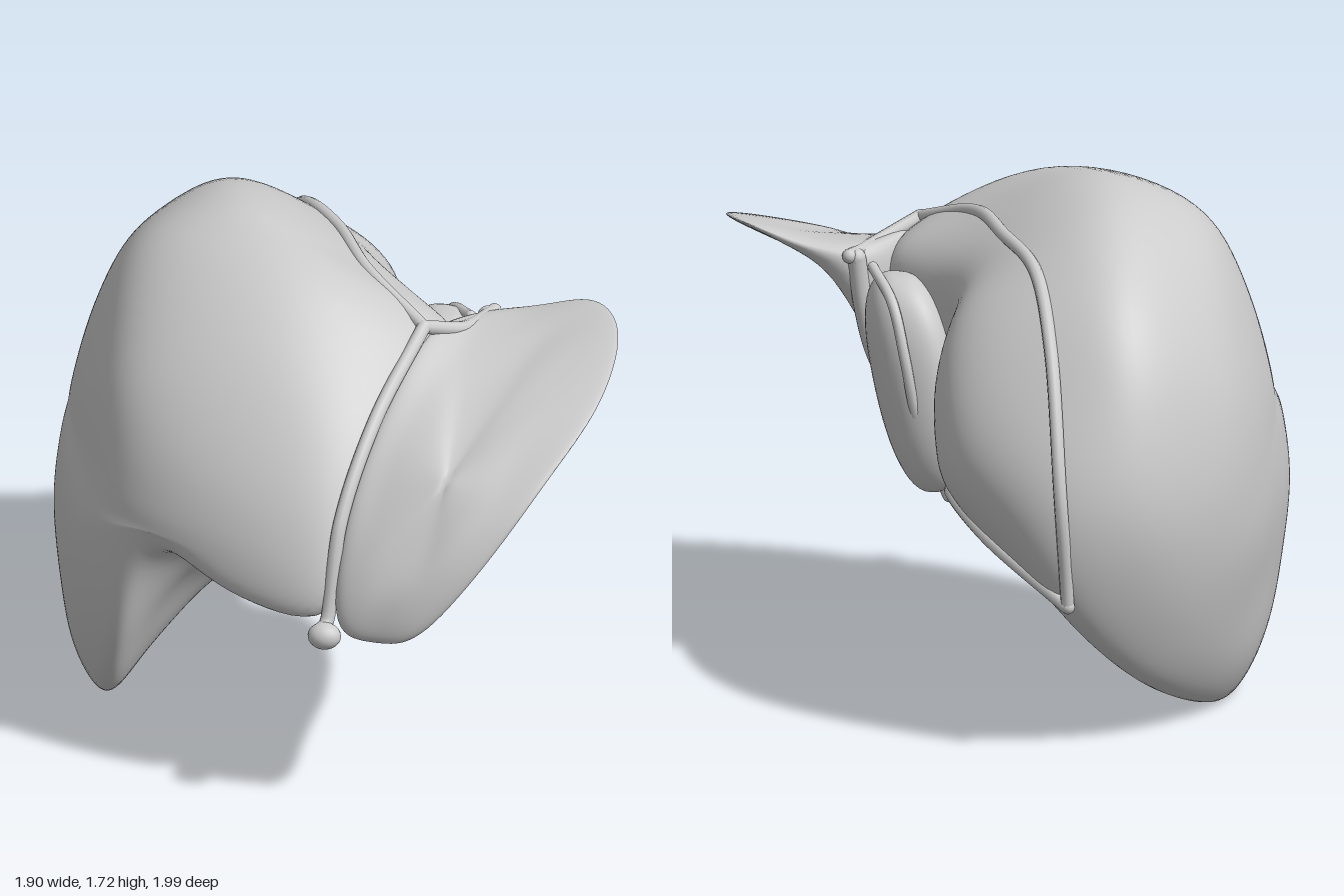
import * as THREE from 'three';
import { mergeVertices } from 'three/addons/utils/BufferGeometryUtils.js';

const material = new THREE.MeshStandardMaterial({ color: 0xcccccc, roughness: 0.7 });
const V = (p) => new THREE.Vector3(...p);

function addMesh(group, name, geometry) {
  const mesh = new THREE.Mesh(geometry, material);
  mesh.name = name;
  group.add(mesh);
  return mesh;
}

// Relax a skin: each pass moves every vertex halfway to the mean of its neighbours.
function relax(g, passes) {
  const p = g.attributes.position, idx = g.index.array;
  const near = Array.from({ length: p.count }, () => new Set());
  for (let t = 0; t < idx.length; t += 3) for (let k = 0; k < 3; k++) {
    const a = idx[t + k], b = idx[t + (k + 1) % 3];
    if (a !== b) { near[a].add(b); near[b].add(a); }
  }
  for (let s = 0; s < passes; s++) {
    const old = Array.from({ length: p.count }, (_, i) => new THREE.Vector3().fromBufferAttribute(p, i));
    near.forEach((set, i) => {
      const mean = new THREE.Vector3();
      set.forEach((j) => mean.add(old[j]));
      mean.divideScalar(set.size).lerp(old[i], 0.5);
      p.setXYZ(i, mean.x, mean.y, mean.z);
    });
  }
}

// Smooth closed skin through a stack of closed rings; a ring may be a single pole point.
function loft(rings, around, along) {
  const loops = rings.map((r) => new THREE.CatmullRomCurve3(r, true, 'catmullrom', 0.5));
  const pos = [], index = [];
  for (let i = 0; i < around; i++) {
    const column = new THREE.CatmullRomCurve3(loops.map((l) => l.getPoint(i / around)));
    for (let j = 0; j <= along; j++) pos.push(...column.getPoint(j / along).toArray());
  }
  const at = (i, j) => (i % around) * (along + 1) + j;
  for (let i = 0; i < around; i++) for (let j = 0; j < along; j++) {
    const a = at(i, j), b = at(i, j + 1), c = at(i + 1, j), d = at(i + 1, j + 1);
    index.push(a, b, c, c, b, d);
  }
  let g = new THREE.BufferGeometry();
  g.setAttribute('position', new THREE.Float32BufferAttribute(pos, 3));
  g.setIndex(index);
  g = mergeVertices(g, 1e-4);
  relax(g, 12);
  g.computeVertexNormals();
  return g;
}

const pole = (p, n) => Array.from({ length: n }, () => V(p));

// Ring halfway to a pole, pushed away from the core to keep the cap round.
function capRing(ring, tip, core, bulge) {
  return ring.map((p) => {
    const mid = p.clone().lerp(V(tip), 0.5);
    const out = mid.clone().sub(V(core)).normalize();
    return mid.addScaledVector(out, bulge * p.distanceToSquared(V(tip)));
  });
}

// Rounded cord along a path.
function cord(group, name, points, radius) {
  const part = new THREE.Group();
  part.name = name;
  group.add(part);
  const curve = new THREE.CatmullRomCurve3(points);
  addMesh(part, name + 'Strand', new THREE.TubeGeometry(curve, points.length * 10, radius, 10));
  for (const p of [points[0], points[points.length - 1]]) {
    addMesh(part, name + 'End', new THREE.SphereGeometry(radius, 12, 8)).position.copy(p);
  }
}

// Right lobe rings: edge runs front, top, back, bottom
const edge = [
  [0.10, 0.70, 0.91], [0.13, 1.02, 0.82], [0.20, 1.28, 0.60], [0.30, 1.47, 0.24], [0.08, 1.56, 0.04],
  [-0.07, 1.57, -0.25], [-0.22, 1.53, -0.50], [-0.32, 1.34, -0.76], [-0.39, 0.93, -0.97], [-0.41, 0.53, -0.94],
  [-0.58, 0.22, -0.70], [-0.72, 0.03, -0.32], [-0.77, -0.01, -0.03], [-0.73, 0.11, 0.34], [-0.64, 0.44, 0.58],
  [-0.51, 0.82, 0.67], [-0.23, 0.73, 0.83]].map(V);
const domeOuter = [
  [-0.14, 0.92, 0.86], [-0.15, 1.14, 0.77], [-0.14, 1.43, 0.56], [-0.12, 1.64, 0.32], [-0.22, 1.71, 0.11],
  [-0.36, 1.74, -0.07], [-0.48, 1.67, -0.38], [-0.59, 1.39, -0.74], [-0.66, 0.92, -0.89], [-0.69, 0.57, -0.82],
  [-0.77, 0.30, -0.58], [-0.85, 0.15, -0.26], [-0.87, 0.14, 0.00], [-0.84, 0.23, 0.30], [-0.74, 0.55, 0.55],
  [-0.57, 0.87, 0.68], [-0.35, 0.86, 0.80]].map(V);
const domeInner = [
  [-0.61, 0.98, 0.65], [-0.61, 1.14, 0.60], [-0.62, 1.33, 0.49], [-0.63, 1.52, 0.28], [-0.65, 1.62, 0.06],
  [-0.69, 1.60, -0.12], [-0.75, 1.48, -0.32], [-0.83, 1.21, -0.52], [-0.87, 0.92, -0.59], [-0.89, 0.65, -0.53],
  [-0.91, 0.50, -0.38], [-0.92, 0.42, -0.18], [-0.925, 0.42, 0.00], [-0.91, 0.48, 0.22], [-0.84, 0.67, 0.43],
  [-0.77, 0.81, 0.53], [-0.67, 0.90, 0.61]].map(V);
const underOuter = [
  [0.14, 0.78, 0.73], [0.22, 0.97, 0.66], [0.32, 1.20, 0.45], [0.40, 1.36, 0.12], [0.28, 1.40, -0.04],
  [0.08, 1.40, -0.26], [0.05, 1.36, -0.50], [-0.01, 1.16, -0.75], [-0.12, 0.90, -0.89], [-0.26, 0.60, -0.86],
  [-0.47, 0.34, -0.63], [-0.60, 0.19, -0.28], [-0.63, 0.16, 0.00], [-0.62, 0.25, 0.24], [-0.56, 0.48, 0.42],
  [-0.42, 0.75, 0.50], [-0.14, 0.75, 0.64]].map(V);
const underInner = [
  [0.17, 0.84, 0.46], [0.24, 0.93, 0.40], [0.32, 1.04, 0.28], [0.34, 1.15, 0.08], [0.24, 1.20, -0.10],
  [0.07, 1.18, -0.25], [0.12, 1.15, -0.44], [0.09, 1.00, -0.64], [0.03, 0.84, -0.73], [-0.12, 0.65, -0.68],
  [-0.29, 0.49, -0.50], [-0.44, 0.42, -0.23], [-0.42, 0.40, -0.02], [-0.48, 0.45, 0.14], [-0.42, 0.58, 0.26],
  [-0.23, 0.71, 0.33], [-0.03, 0.77, 0.41]].map(V);

// Left lobe rings: edge runs from the front corner, round the wing tip, back along the root
const wingEdge = [
  [0.13, 0.70, 0.93], [0.27, 0.65, 0.95], [0.42, 0.69, 0.96], [0.62, 0.93, 0.92], [0.81, 1.20, 0.78],
  [0.94, 1.36, 0.50], [0.95, 1.47, 0.17], [0.83, 1.50, -0.03], [0.62, 1.44, -0.06], [0.42, 1.42, -0.02],
  [0.29, 1.45, 0.24], [0.19, 1.25, 0.60], [0.13, 1.00, 0.81]].map(V);
const wingTop = [
  [0.22, 0.83, 0.94], [0.30, 0.82, 0.96], [0.41, 0.86, 0.96], [0.54, 1.01, 0.91], [0.67, 1.18, 0.79],
  [0.75, 1.33, 0.56], [0.75, 1.42, 0.28], [0.68, 1.43, 0.15], [0.56, 1.42, 0.15], [0.45, 1.41, 0.20],
  [0.36, 1.37, 0.41], [0.28, 1.23, 0.66], [0.23, 1.02, 0.84]].map(V);
const wingUnder = [
  [0.19, 0.76, 0.79], [0.28, 0.75, 0.82], [0.39, 0.80, 0.83], [0.53, 0.96, 0.79], [0.67, 1.17, 0.65],
  [0.76, 1.31, 0.42], [0.77, 1.38, 0.19], [0.68, 1.39, 0.06], [0.56, 1.32, 0.02], [0.43, 1.10, 0.03],
  [0.33, 0.94, 0.15], [0.25, 0.88, 0.40], [0.20, 0.81, 0.62]].map(V);

export function createModel() {
  const group = new THREE.Group();
  group.name = 'liver';

  // Large domed right lobe
  const domeTip = [-0.925, 1.0, 0.0], underTip = [0.08, 0.73, -0.13], core = [-0.3, 0.9, 0], n = edge.length;
  const rightLobe = addMesh(group, 'rightLobe', loft([
    pole(domeTip, n), capRing(domeInner, domeTip, core, 0.1), domeInner, domeOuter, edge,
    underOuter, underInner, capRing(underInner, underTip, core, 0.03), pole(underTip, n)], 136, 72));

  // Thin left lobe, dished underneath
  const topTip = [0.47, 1.17, 0.78], dishTip = [0.46, 1.07, 0.52], m = wingEdge.length;
  addMesh(group, 'leftLobe', loft([pole(topTip, m), capRing(wingTop, topTip, [0.45, 0.9, 0.3], 0.07), wingTop,
    wingEdge, wingUnder, capRing(wingUnder, dishTip, [0.45, 0.7, 0.0], 0.1), pole(dishTip, m)], 104, 56));

  // Caudate lobe: a boxy egg, narrower and leaning backwards at its foot
  const caudate = new THREE.SphereGeometry(1, 40, 30);
  const p = caudate.attributes.position;
  const boxy = (v) => Math.sign(v) * Math.abs(v) ** 0.8;
  for (let i = 0; i < p.count; i++) {
    const x = boxy(p.getX(i)), y = boxy(p.getY(i)), z = boxy(p.getZ(i)), w = 1 + 0.15 * y;
    p.setXYZ(i, 0.25 + 0.14 * x * w + 0.06 * y + 0.05 * z, 1.02 + 0.36 * y, -0.13 + 0.16 * z * w + 0.03 * y);
  }
  const caudateSkin = mergeVertices(caudate.deleteAttribute('uv').deleteAttribute('normal'), 1e-4);
  relax(caudateSkin, 6);
  caudateSkin.computeVertexNormals();
  addMesh(group, 'caudateLobe', caudateSkin);

  // Ligament between the lobes, ending in a small knob at the front
  cord(group, 'falciformLigament', [V([0.09, 0.69, 0.93]), ...edge.slice(0, 4)], 0.024);
  const knob = addMesh(group, 'roundLigamentStump', new THREE.SphereGeometry(0.05, 16, 12));
  knob.position.set(0.10, 0.67, 0.945);
  knob.scale.set(1.1, 0.9, 0.9);

  // Ligaments over the top and back
  cord(group, 'upperCoronaryLigament', edge.slice(3, 10), 0.022);
  cord(group, 'leftTriangularLigament',
    [[0.30, 1.47, 0.24], [0.41, 1.42, 0.12], [0.46, 1.41, 0.0], [0.48, 1.41, -0.05]].map(V), 0.024);

  // Lower ligament, laid onto the right lobe's inner face
  rightLobe.updateMatrixWorld();
  const onFace = ([y, z]) => {
    const ray = new THREE.Raycaster(V([2, y, z]), V([-1, 0, 0]));
    return ray.intersectObject(rightLobe)[0].point;
  };
  cord(group, 'lowerCoronaryLigament', [edge[9], ...[[0.70, -0.77], [0.79, -0.60],
    [0.76, -0.42], [0.71, -0.25], [0.65, -0.17]].map(onFace)], 0.024);

  // Ridge round the caudate lobe and the fissure beside it
  cord(group, 'caudateRidge', [[0.13, 0.65, -0.17], [0.17, 0.76, -0.20], [0.22, 0.96, -0.27],
    [0.25, 1.14, -0.29], [0.30, 1.31, -0.24], [0.40, 1.38, -0.06]].map(V), 0.018);
  cord(group, 'venousFissure', [[0.46, 1.40, -0.03], [0.44, 1.22, -0.01], [0.40, 1.05, 0.02], [0.33, 0.91, 0.12]].map(V), 0.032);

  // Strands at the underside gateway
  cord(group, 'portalStrand', [[0.32, 0.90, 0.22], [0.25, 0.80, 0.10], [0.15, 0.69, -0.04]].map(V), 0.028);
  cord(group, 'portalLip', [[0.15, 0.69, -0.04], [0.02, 0.69, 0.10], [-0.13, 0.68, 0.22], [-0.23, 0.71, 0.30]].map(V), 0.025);
  return group;
}
